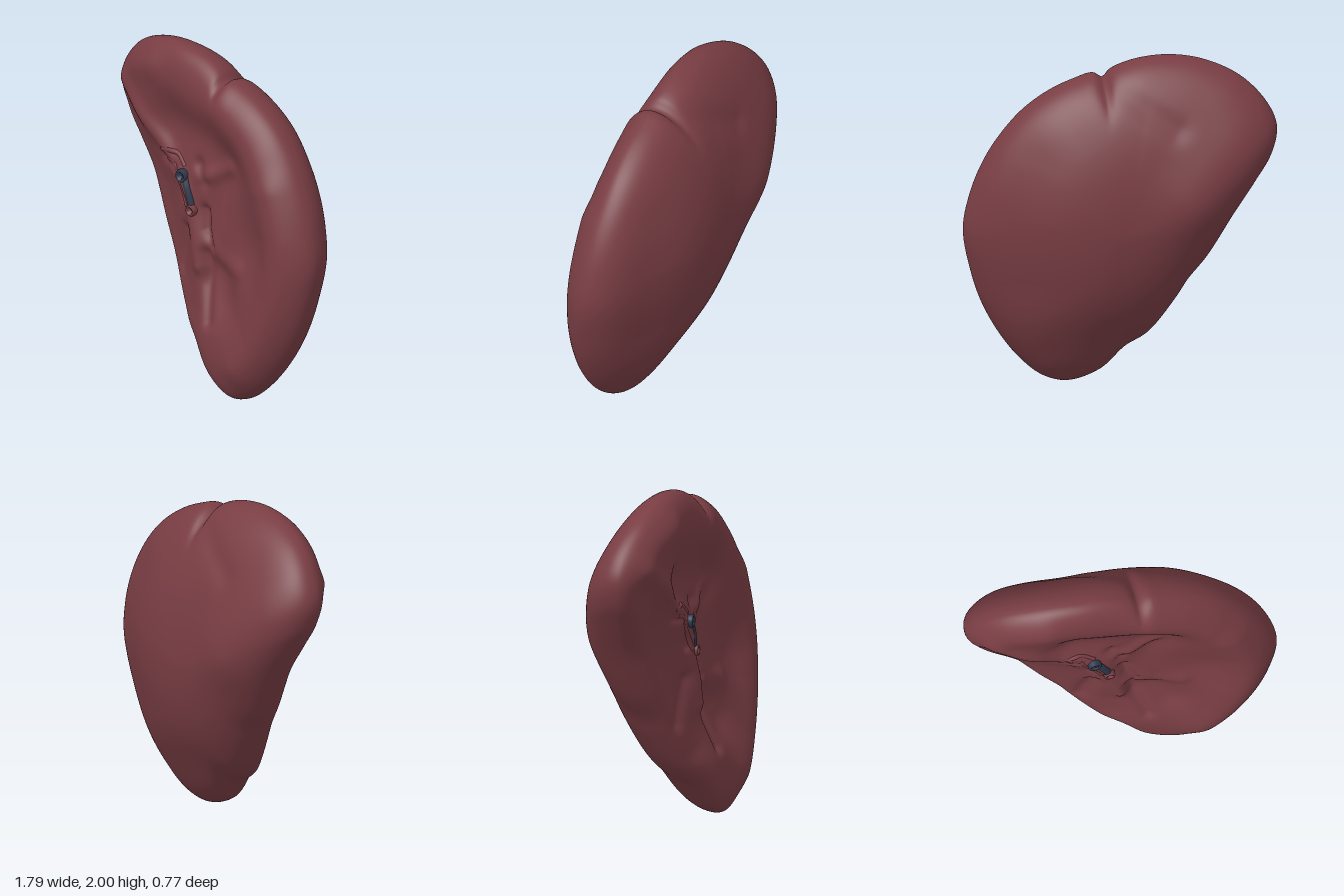
import * as THREE from 'three';
import { mergeVertices } from 'three/addons/utils/BufferGeometryUtils.js';

// Rim of the organ, counter-clockwise from the lower tip: x, y, z
const RIM = [
  [0.28, 0, 0.22], [0.42, 0.035, 0.22], [0.55, 0.14, 0.22], [0.68, 0.31, 0.21], [0.78, 0.5, 0.2],
  [0.84, 0.68, 0.19], [0.89, 0.95, 0.17], [0.86, 1.15, 0.15], [0.79, 1.35, 0.13], [0.68, 1.54, 0.11],
  [0.55, 1.69, 0.1], [0.4, 1.8, 0.09], [0.25, 1.87, 0.08], [0.14, 1.9, 0.08], [0.09, 1.87, 0.08],
  [0.04, 1.925, 0.07], [-0.1, 1.98, 0.06], [-0.3, 2, 0.05], [-0.5, 1.97, 0.02], [-0.7, 1.88, -0.03],
  [-0.84, 1.74, -0.08], [-0.9, 1.6, -0.1], [-0.87, 1.45, -0.11], [-0.78, 1.3, -0.12], [-0.65, 1.1, -0.12],
  [-0.5, 0.83, -0.07], [-0.39, 0.67, -0.02], [-0.33, 0.56, 0.01], [-0.17, 0.32, 0.09],
  [-0.04, 0.22, 0.14], [0.1, 0.07, 0.19],
];

// Folds: width, height, then the points of the path they follow
const FRONT_FOLDS = [
  // thick outer lip
  [0.16, 0.05, [0.18, 1.77], [0.32, 1.68], [0.45, 1.57]],
  [0.17, 0.085, [0.62, 1.36], [0.7, 1.1], [0.71, 0.9], [0.69, 0.72], [0.64, 0.55], [0.57, 0.38], [0.44, 0.23]],
  [0.11, 0.05, [-0.78, 1.72], [-0.68, 1.8], [-0.5, 1.86]],
  // broad hollows
  [0.19, -0.085, [-0.28, 1.53], [0, 1.48], [0.15, 1.4]],
  [0.22, -0.05, [0.14, 1.16], [0.38, 0.95]],
  [0.13, -0.05, [0.13, 0.72], [0.22, 0.58]],
  [0.24, -0.05, [-0.35, 1.3], [-0.1, 1], [0, 0.7]],
  // slope outside the hilum
  [0.13, -0.05, [-0.78, 1.45], [-0.46, 1.08], [-0.32, 0.8], [-0.14, 0.46]],
  // hilum ridge
  [0.06, 0.035, [-0.78, 1.64], [-0.36, 1.34], [-0.17, 1.14], [-0.1, 0.93], [-0.04, 0.72]],
  // small creases
  [0.03, -0.02, [-0.38, 1.28], [-0.27, 1.26], [-0.2, 1.08]],
  [0.05, 0.025, [-0.06, 1.25], [0.05, 1.3], [0.17, 1.37]],
  [0.045, -0.03, [-0.08, 1.32], [-0.04, 1.23]],
  [0.03, -0.03, [-0.02, 1.06], [0, 0.95], [0.05, 0.86]],
  [0.06, 0.02, [0.06, 0.86], [0.15, 0.81], [0.3, 0.8]],
  [0.04, -0.03, [0.01, 0.8], [0.04, 0.62], [0.1, 0.43]],
  [0.05, -0.03, [-0.2, 0.88], [-0.26, 0.64]],
];
const BACK_FOLDS = [
  [0.07, 0.025, [0.08, 1.88], [-0.05, 1.81], [-0.15, 1.74], [-0.3, 1.64]], // groove from the notch
  [0.24, -0.06, [-0.7, 1.48], [-0.45, 1.2]],
  [0.2, 0.035, [0.6, 1.45], [0.68, 1.1], [0.62, 0.7]],
  [0.2, 0.035, [0.1, 0.3], [0.3, 0.2]],
];

// Sum of soft folds, each fading with the distance from its path
function folds(list, x, y) {
  let sum = 0;
  for (const [width, height, ...path] of list) {
    let nearest = Infinity;
    for (let i = 1; i < path.length; i++) {
      const [x1, y1] = path[i - 1], dx = path[i][0] - x1, dy = path[i][1] - y1;
      const k = THREE.MathUtils.clamp(((x - x1) * dx + (y - y1) * dy) / (dx * dx + dy * dy), 0, 1);
      nearest = Math.min(nearest, Math.hypot(x - x1 - k * dx, y - y1 - k * dy));
    }
    sum += height * Math.exp(-((nearest / width) ** 2));
  }
  return sum;
}

// Closed body: rings from the back pole over the rim to the front pole
function bodyGeometry() {
  const around = 256, backRings = 44, frontRings = 84;
  const curve = new THREE.CatmullRomCurve3(RIM.map((p) => new THREE.Vector3(...p)), true, 'centripetal');
  const rim = curve.getSpacedPoints(around).slice(0, around);
  // Smoothed rim for the inner rings, so the notch stays at the edge
  const inner = rim.map((_, i) => {
    const mean = new THREE.Vector3();
    for (let k = -14; k <= 14; k++) mean.addScaledVector(rim[(i + k + around) % around], 1 / 29);
    return mean;
  });
  const centre = new THREE.Vector3(0.03, 1.05, 0.05), p = new THREE.Vector3();
  const positions = [], indices = [];
  const rings = backRings + frontRings;
  for (let j = 0; j <= rings; j++) {
    const front = j > backRings;
    const angle = (front ? (rings - j) / frontRings : j / backRings) * Math.PI / 2;
    const t = j === rings ? 0 : Math.sin(angle);
    const lip = Math.sqrt(Math.max(0, 1 - t ** 5));
    for (let i = 0; i < around; i++) {
      p.lerpVectors(inner[i], rim[i], THREE.MathUtils.smoothstep(t, 0.65, 1)).sub(centre);
      const x = centre.x + p.x * t, y = centre.y + p.y * t;
      const mid = centre.z + p.z * t ** 1.5;
      const z = front
        ? mid + lip * (0.175 + folds(FRONT_FOLDS, x, y))
        : mid + Math.cos(angle) * (folds(BACK_FOLDS, x, y) - 0.385);
      positions.push(x, y, z);
      if (j < rings) {
        const a = j * around + i, b = j * around + (i + 1) % around;
        if (j > 0) indices.push(a, b, b + around);
        if (j < rings - 1) indices.push(a, b + around, a + around);
      }
    }
  }
  let geometry = new THREE.BufferGeometry();
  geometry.setAttribute('position', new THREE.Float32BufferAttribute(positions, 3));
  geometry.setIndex(indices);
  geometry = mergeVertices(geometry, 1e-5);
  geometry.computeVertexNormals();
  return geometry;
}

export function createModel() {
  const group = new THREE.Group();
  const flesh = new THREE.MeshStandardMaterial({ color: 0x783d43 });
  flesh.name = 'flesh red';
  const veinBlue = new THREE.MeshStandardMaterial({ color: 0x30394b });
  veinBlue.name = 'vein blue';

  const add = (name, geometry, material, x = 0, y = 0, z = 0) => {
    const mesh = new THREE.Mesh(geometry, material);
    mesh.name = name;
    mesh.position.set(x, y, z);
    group.add(mesh);
    return mesh;
  };

  const body = bodyGeometry();
  add('organBody', body, flesh);

  // Height of the front surface near a point
  const pos = body.attributes.position;
  const frontZ = (x, y) => {
    let best = Infinity, z = 0;
    for (let i = 0; i < pos.count; i++) {
      const d = Math.hypot(pos.getX(i) - x, pos.getY(i) - y);
      if (d < best && pos.getZ(i) > 0) { best = d; z = pos.getZ(i); }
    }
    return z;
  };

  // Cut vessel: short stub with a rounded open lip
  const vessel = (name, material, x, y, r) => {
    const profile = [[r, -0.05], [r, 0.008], [r * 0.85, 0.017], [r * 0.6, 0.014], [r * 0.45, 0], [0, -0.004]];
    const stub = add(name, new THREE.LatheGeometry(profile.map((q) => new THREE.Vector2(...q)), 24),
      material, x, y, frontZ(x, y) + 0.005);
    stub.rotation.x = Math.PI / 2;
  };
  vessel('veinStub', veinBlue, -0.195, 1.23, 0.04);
  vessel('arteryStub', flesh, -0.11, 1.04, 0.034);

  // Vein lying along the hilum, and folds of tissue beside it
  const tube = (name, material, points, r, lift) => {
    const path = new THREE.CatmullRomCurve3(
      points.map(([x, y]) => new THREE.Vector3(x, y, frontZ(x, y) + lift)));
    add(name, new THREE.TubeGeometry(path, 32, r, 12), material);
  };
  tube('vein', veinBlue, [[-0.18, 1.22], [-0.155, 1.17], [-0.135, 1.12], [-0.12, 1.07]], 0.026, -0.012);
  tube('upperHilumFold', flesh, [[-0.4, 1.33], [-0.32, 1.34], [-0.26, 1.335], [-0.19, 1.28]], 0.016, -0.008);
  tube('lowerHilumFold', flesh, [[-0.34, 1.29], [-0.27, 1.27], [-0.24, 1.2], [-0.2, 1.14], [-0.15, 1.05]], 0.016, -0.009);
  return group;
}
